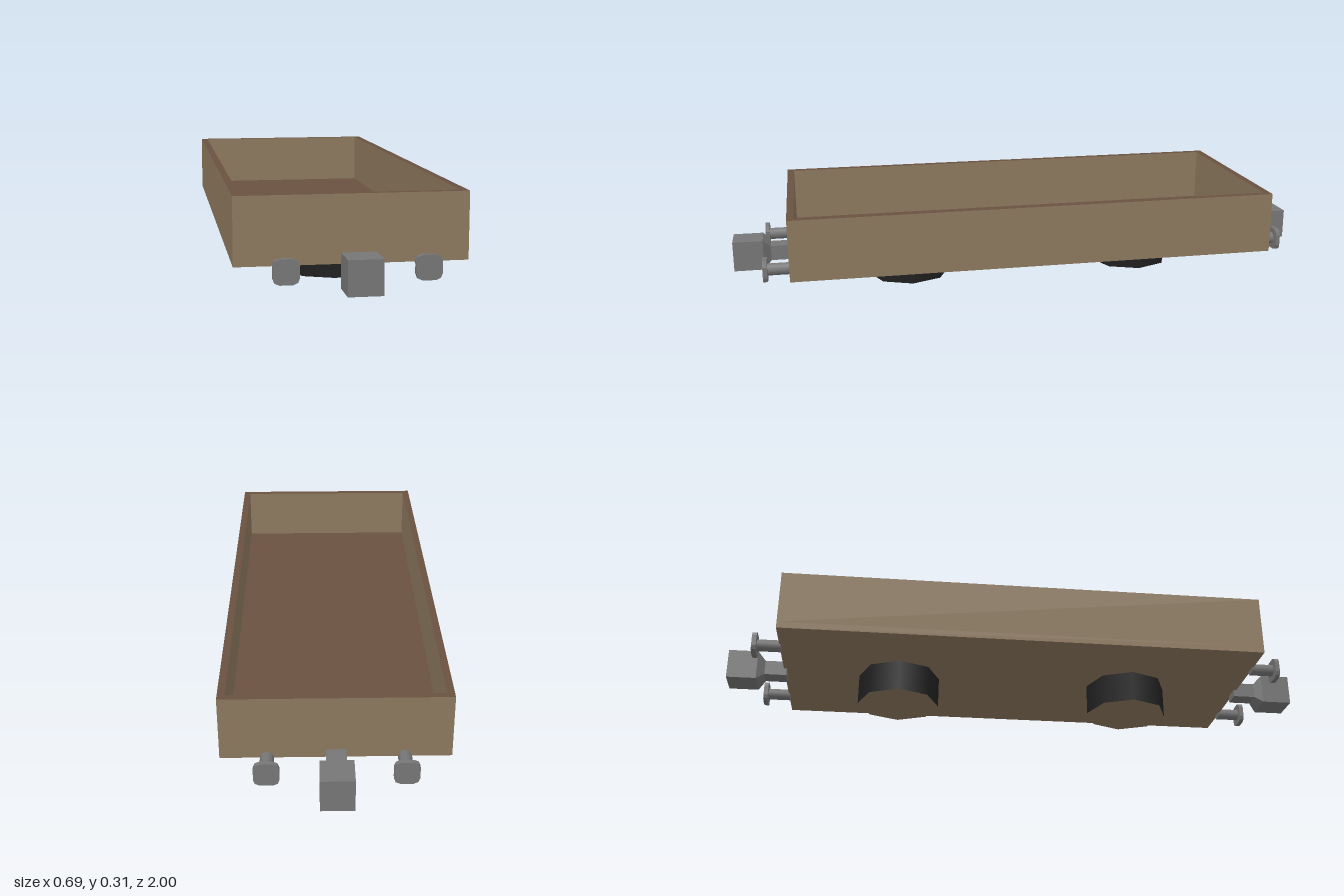
import * as THREE from 'three';

const mat = (name, color) => {
  const m = new THREE.MeshStandardMaterial({ color });
  m.name = name;
  return m;
};

export function createModel() {
  const tan = mat('tan side paint', 0x8d795e);
  const brown = mat('brown floor', 0x6a5140);
  const grey = mat('grey metal', 0x777777);
  const black = mat('black drum', 0x202020);

  const model = new THREE.Group();
  model.name = 'openWagon';
  const add = (parent, name, geo, material, x = 0, y = 0, z = 0) => {
    const mesh = new THREE.Mesh(geo, material);
    mesh.name = name;
    mesh.position.set(x, y, z);
    parent.add(mesh);
    return mesh;
  };

  // Open tray: tan all round, brown on every upward face
  const W = 0.343, L = 0.81, T = 0.023, bottom = 0.105, top = 0.308;
  const floorTop = bottom + 0.022;
  const trayMats = [tan, tan, brown, tan, tan, tan];
  add(model, 'floor', new THREE.BoxGeometry(2 * W, floorTop - bottom, 2 * L), trayMats, 0, (bottom + floorTop) / 2, 0);
  const wallH = top - floorTop, wallY = (top + floorTop) / 2;
  for (const s of [1, -1]) {
    add(model, s > 0 ? 'leftWall' : 'rightWall',
      new THREE.BoxGeometry(T, wallH, 2 * L), trayMats, s * (W - T / 2), wallY, 0);
    add(model, s > 0 ? 'frontWall' : 'backWall',
      new THREE.BoxGeometry(2 * (W - T), wallH, T), trayMats, 0, wallY, s * (L - T / 2));
  }

  // Eight-sided drums under the tray
  for (const z of [0.402, -0.41]) {
    add(model, z > 0 ? 'frontDrum' : 'backDrum',
      new THREE.CylinderGeometry(0.14, 0.14, bottom, 8), [black, tan, tan], 0, bottom / 2, z);
  }

  // Rounded-square buffer plate outline
  const outline = [];
  for (const [sx, sy] of [[1, 1], [-1, 1], [-1, -1], [1, -1]]) {
    const corner = [[0.038, 0.018], [0.033, 0.031], [0.019, 0.037]];
    if (sx * sy < 0) corner.reverse();
    corner.forEach(([x, y]) => outline.push(new THREE.Vector2(sx * x, sy * y)));
  }
  const plateGeo = new THREE.ExtrudeGeometry(new THREE.Shape(outline), { depth: 0.015, bevelEnabled: false });
  const stemGeo = new THREE.CylinderGeometry(0.021, 0.021, 0.08, 8).rotateX(Math.PI / 2);

  // Tapered neck: the inner end of a box is narrowed
  const neckGeo = new THREE.BoxGeometry(0.1, 0.102, 0.025);
  const p = neckGeo.attributes.position;
  for (let i = 0; i < p.count; i++) {
    if (p.getZ(i) < 0) p.setXY(i, p.getX(i) * 0.6, p.getY(i) * 0.5);
  }
  neckGeo.computeVertexNormals();

  // Coupler and two buffers, the same at both ends
  for (const end of ['front', 'back']) {
    const g = new THREE.Group();
    g.name = end + 'Coupling';
    if (end === 'back') g.rotation.y = Math.PI;
    const y = 0.106;
    add(g, 'couplerHead', new THREE.BoxGeometry(0.1, 0.102, 0.1), grey, 0, y, 0.95);
    add(g, 'couplerNeck', neckGeo, grey, 0, y, 0.8875);
    add(g, 'couplerShaft', new THREE.BoxGeometry(0.06, 0.051, 0.075), grey, 0, y, 0.8375);
    for (const x of [-0.203, 0.203]) {
      add(g, 'bufferStem', stemGeo, grey, x, y, 0.845);
      add(g, 'bufferPlate', plateGeo, grey, x, y, 0.883);
    }
    model.add(g);
  }
  return model;
}
